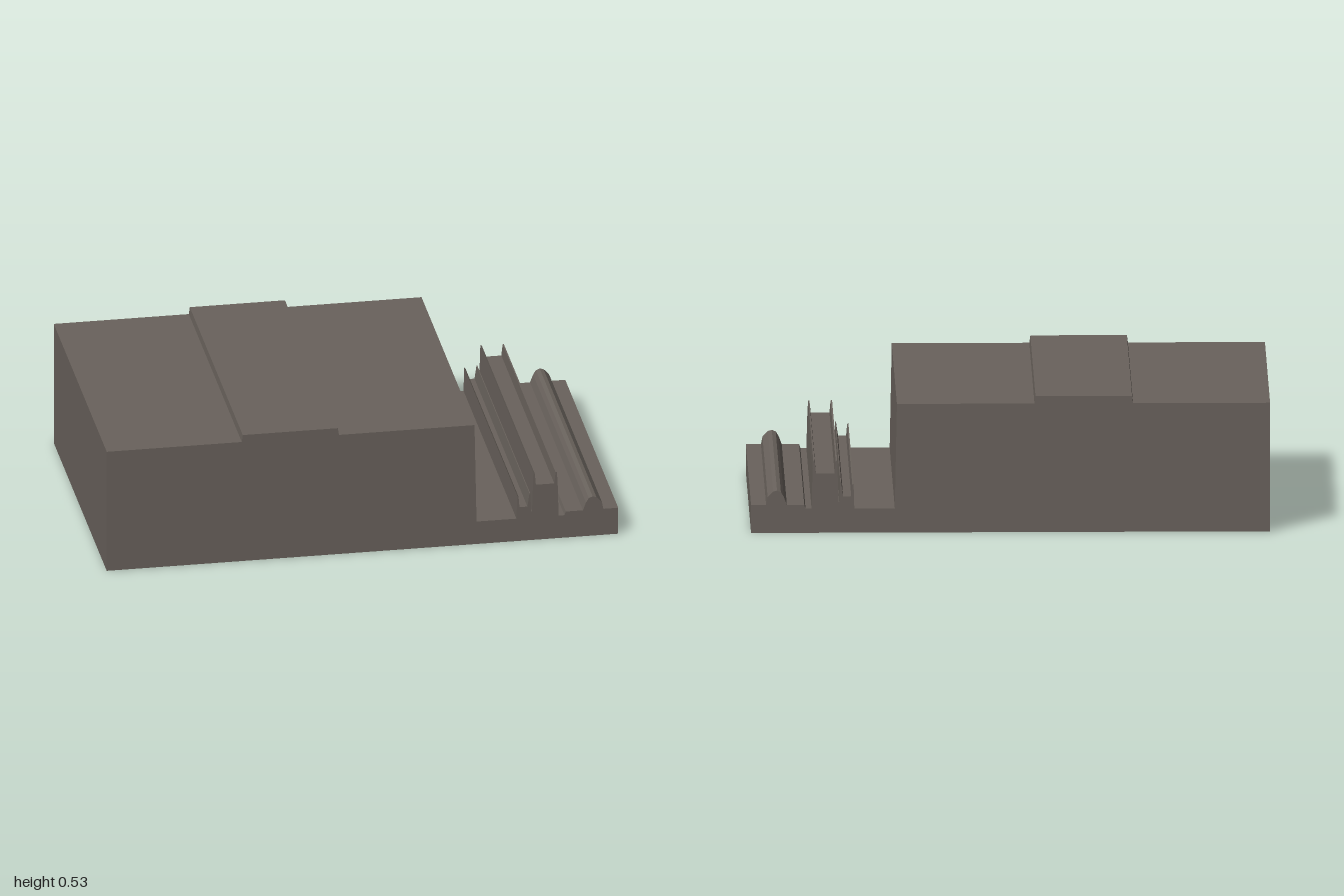
import * as THREE from 'three';

const DEPTH = 1.194;

export function createModel() {
  const model = new THREE.Group();
  model.name = 'steppedProfileBlock';

  const stone = new THREE.MeshStandardMaterial({ color: 0x69625c });
  stone.name = 'warm grey';

  // Cross-section, counter-clockwise from the lower left corner
  const base = [[-1, 0], [1, 0], [1, 0.11]];
  const roundedRib = [
    [0.942, 0.11], [0.936, 0.14], [0.915, 0.162], [0.9, 0.166], [0.885, 0.16],
    [0.874, 0.142], [0.862, 0.11], [0.795, 0.11], [0.79, 0.095], [0.767, 0.095],
  ];
  const tallRail = [
    [0.763, 0.24], [0.76, 0.28], [0.755, 0.28], [0.75, 0.233],
    [0.678, 0.233], [0.674, 0.28], [0.668, 0.284], [0.663, 0.12],
  ];
  const lowRail = [
    [0.66, 0.12], [0.656, 0.198], [0.653, 0.198], [0.645, 0.143],
    [0.614, 0.143], [0.61, 0.188], [0.605, 0.193], [0.602, 0.095],
  ];
  const block = [[0.446, 0.095], [0.438, 0.505], [-0.092, 0.505]];
  const raisedTop = [[-0.096, 0.534], [-0.468, 0.534], [-0.472, 0.505], [-1, 0.505]];

  const outline = [...base, ...roundedRib, ...tallRail, ...lowRail, ...block, ...raisedTop];
  const shape = new THREE.Shape(outline.map(([x, y]) => new THREE.Vector2(x, y)));

  // Straight extrusion, centred front to back
  const geometry = new THREE.ExtrudeGeometry(shape, { depth: DEPTH, bevelEnabled: false });
  geometry.translate(0, 0, -DEPTH / 2);

  const body = new THREE.Mesh(geometry, stone);
  body.name = 'profileBody';
  model.add(body);
  return model;
}
